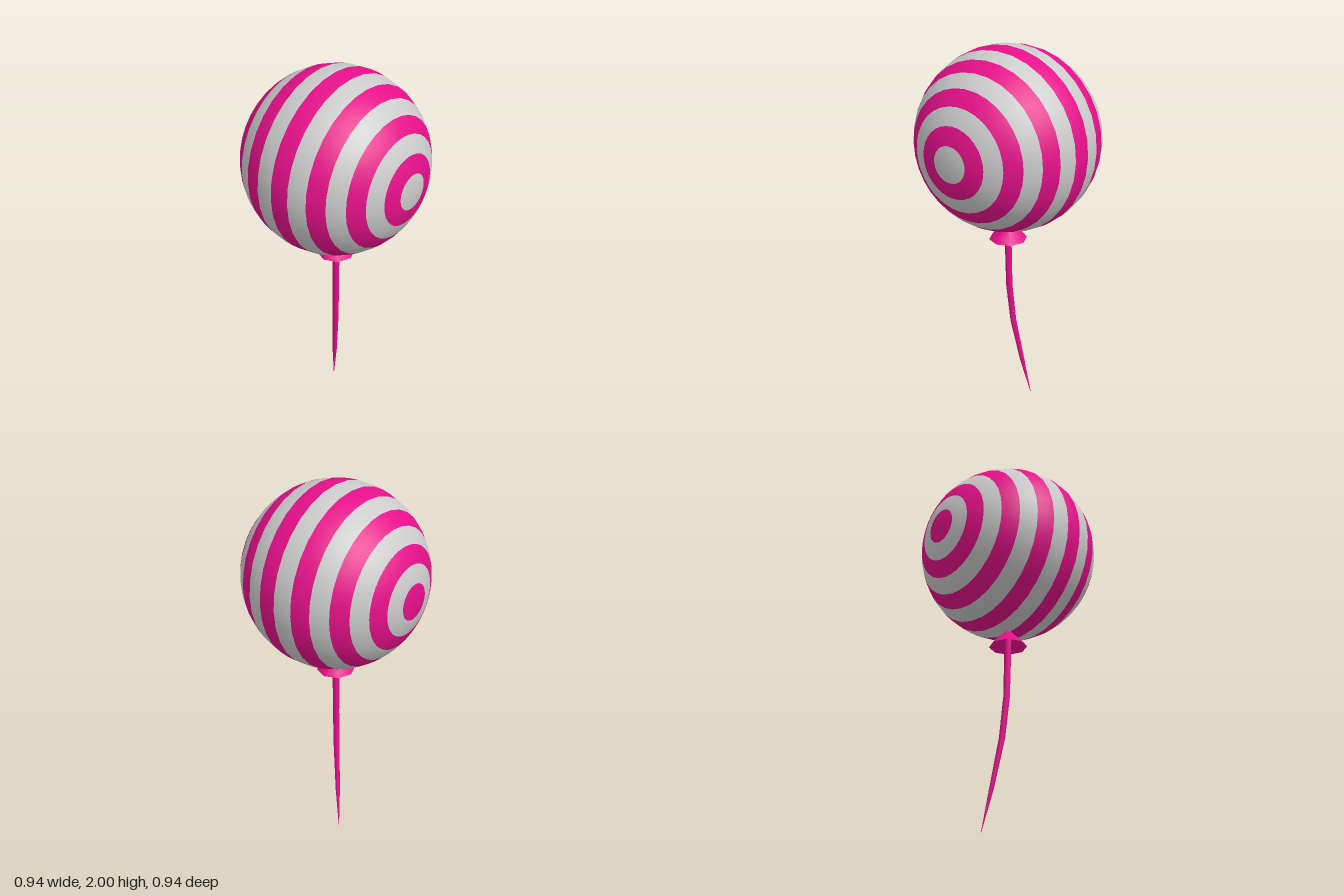
import * as THREE from 'three';

const pink = new THREE.MeshStandardMaterial({ color: 0xe6108a });
const pinkThin = new THREE.MeshStandardMaterial({ color: 0xe6108a, side: THREE.DoubleSide });
const grey = new THREE.MeshStandardMaterial({ color: 0xcccccc });

function addMesh(parent, name, geometry, material) {
  const mesh = new THREE.Mesh(geometry, material);
  mesh.name = name;
  parent.add(mesh);
  return mesh;
}

// Striped ball: equal-angle bands around the z axis, alternating colours
function createBall() {
  const ball = new THREE.Group();
  ball.name = 'ball';
  const bands = 16, step = Math.PI / bands;
  for (let i = 0; i < bands; i++) {
    const band = new THREE.SphereGeometry(0.47, 32, 1, 0, Math.PI * 2, i * step, step);
    band.rotateX(Math.PI / 2);
    addMesh(ball, i % 2 ? 'pinkBand' : 'greyBand', band, i % 2 ? pink : grey);
  }
  ball.position.y = 1.53;
  return ball;
}

// Thin string: a cylinder whose rings follow a bending path and taper to a point
function createString() {
  const rings = [ // height, sideways offset, radius
    [1.05, 0, 0.018], [0.95, 0.001, 0.018], [0.7, 0.005, 0.017],
    [0.48, 0.021, 0.016], [0.22, 0.057, 0.012], [0, 0.092, 0.001],
  ];
  const rows = rings.length - 1;
  const geometry = new THREE.CylinderGeometry(1, 1, 1, 8, rows, true);
  const pos = geometry.attributes.position;
  for (let i = 0; i < pos.count; i++) {
    const [y, offset, r] = rings[Math.round((0.5 - pos.getY(i)) * rows)];
    pos.setXYZ(i, pos.getX(i) * r + offset, y, pos.getZ(i) * r - offset);
  }
  geometry.computeVertexNormals();
  return geometry;
}

export function createModel() {
  const model = new THREE.Group();
  model.name = 'balloon';
  model.add(createBall());

  // Hollow flared knot under the ball
  const profile = [[0.1, 0.98], [0.085, 1.0], [0.03, 1.05], [0.012, 1.075]]
    .map(([r, y]) => new THREE.Vector2(r, y));
  addMesh(model, 'knot', new THREE.LatheGeometry(profile, 8), pinkThin);

  addMesh(model, 'string', createString(), pink);
  return model;
}
